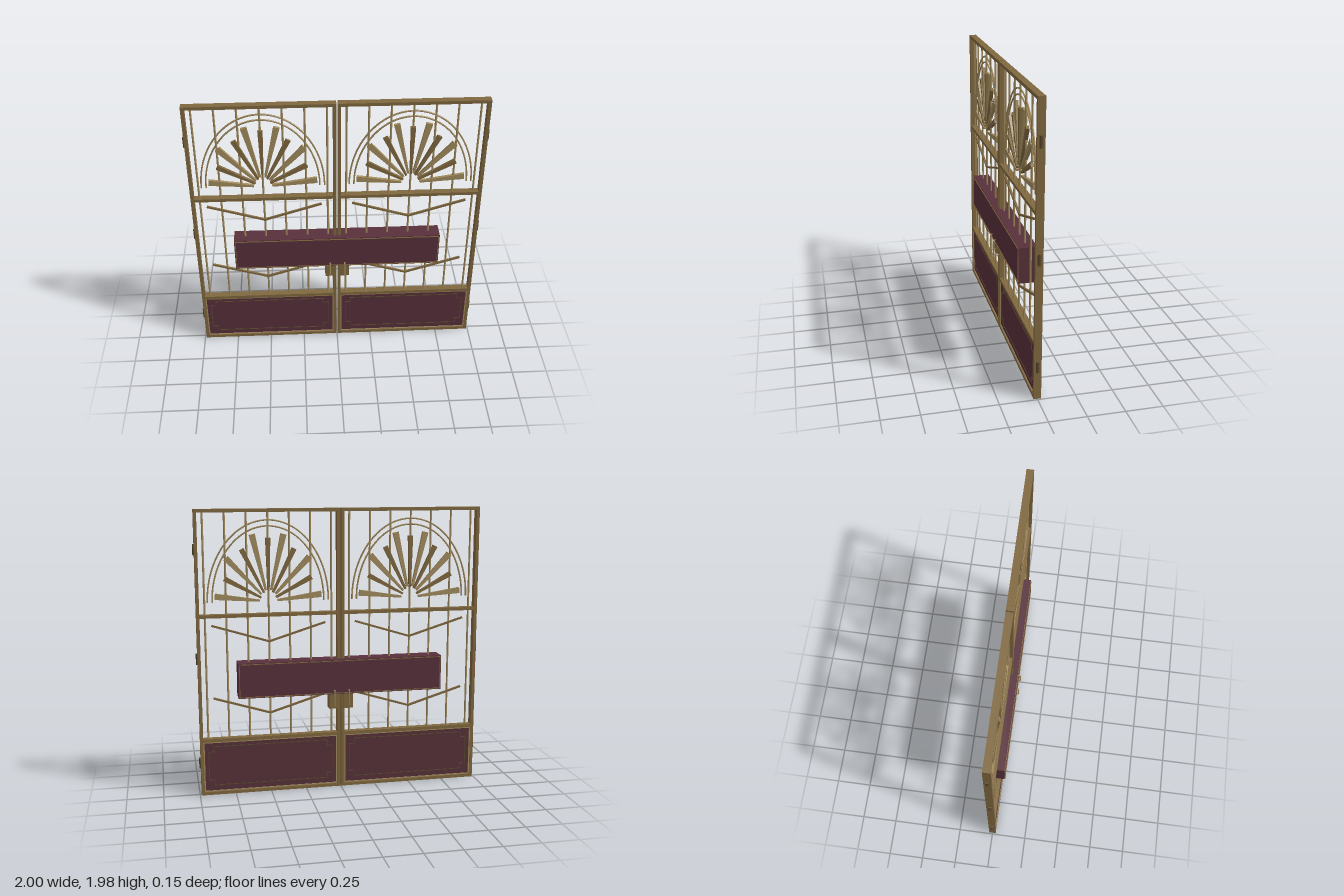
import * as THREE from 'three';

const paint = (color) => new THREE.MeshStandardMaterial({ color });
const bronze = paint(0x80683f);
const brass = paint(0xa38c5e);
const maroon = paint(0x58303a);
const dark = paint(0x5c4a30);

function add(parent, name, geometry, material, x = 0, y = 0, z = 0) {
  const mesh = new THREE.Mesh(geometry, material);
  mesh.name = name;
  mesh.position.set(x, y, z);
  parent.add(mesh);
  return mesh;
}

// Box given by its x, y and z limits
function block(parent, name, material, x0, x1, y0, y1, z0, z1) {
  return add(parent, name, new THREE.BoxGeometry(x1 - x0, y1 - y0, z1 - z0), material,
    (x0 + x1) / 2, (y0 + y1) / 2, (z0 + z1) / 2);
}

// Straight square bar between two points in the gate plane
function strip(parent, name, material, a, b, width, depth, z = 0) {
  const dx = b[0] - a[0], dy = b[1] - a[1];
  const mesh = add(parent, name, new THREE.BoxGeometry(Math.hypot(dx, dy) + width, width, depth),
    material, (a[0] + b[0]) / 2, (a[1] + b[1]) / 2, z);
  mesh.rotation.z = Math.atan2(dy, dx);
}

// Closed line of thin strips
function outline(parent, name, material, points, width, depth, z) {
  points.forEach((p, i) => strip(parent, name, material, p, points[(i + 1) % points.length], width, depth, z));
}

const rectangle = (x0, x1, y0, y1) => [[x0, y0], [x1, y0], [x1, y1], [x0, y1]];

// Half-ellipse hoop of round bar
function arch(parent, rx, ry) {
  const points = [];
  for (let i = 0; i <= 32; i++) {
    const t = (i / 32) * Math.PI;
    points.push(new THREE.Vector3(rx * Math.cos(t), ry * Math.sin(t), 0));
  }
  add(parent, 'arch', new THREE.TubeGeometry(new THREE.CatmullRomCurve3(points), 64, 0.006, 6), brass);
}

// Flat wedge that widens away from the arch centre
function ray(parent, angle, isLong) {
  const rx = isLong ? 0.365 : 0.32, ry = isLong ? 0.475 : 0.43;
  const x = rx * Math.cos(angle), y = ry * Math.sin(angle);
  const length = Math.hypot(x, y);
  const inner = length * 0.17, w0 = 0.007, w1 = isLong ? 0.021 : 0.017;
  const shape = new THREE.Shape([
    new THREE.Vector2(inner, -w0), new THREE.Vector2(length, -w1),
    new THREE.Vector2(length, w1), new THREE.Vector2(inner, w0),
  ]);
  const geometry = new THREE.ExtrudeGeometry(shape, { depth: 0.02, bevelEnabled: false });
  geometry.translate(0, 0, -0.01);
  add(parent, 'sunRay', geometry, isLong ? brass : bronze).rotation.z = Math.atan2(y, x);
}

function createLeaf(side) {
  const leaf = new THREE.Group();
  leaf.name = side > 0 ? 'leftLeaf' : 'rightLeaf';
  const cx = 0.497, d = 0.025;

  // Frame: two stiles and four rails
  block(leaf, 'innerStile', bronze, 0.004, 0.026, 0, 1.975, -d, d);
  block(leaf, 'outerStile', bronze, 0.968, 0.99, 0, 1.975, -d, d);
  for (const [y0, y1] of [[0, 0.022], [0.382, 0.404], [1.248, 1.27], [1.953, 1.975]])
    block(leaf, 'rail', bronze, 0.02, 0.975, y0, y1, -d + 0.001, d - 0.001);

  // Upright bars
  for (let i = -3; i <= 3; i++)
    add(leaf, 'uprightBar', new THREE.CylinderGeometry(0.007, 0.007, 1.56, 8), brass, cx + i * 0.1447, 1.18, 0);

  // Sunburst under a double arch
  const sunburst = new THREE.Group();
  sunburst.name = 'sunburst';
  sunburst.position.set(cx, 1.35, 0);
  arch(sunburst, 0.414, 0.55);
  arch(sunburst, 0.382, 0.51);
  for (let i = 0; i <= 10; i++) ray(sunburst, THREE.MathUtils.degToRad(5 + 17 * i), i % 2 === 0);
  leaf.add(sunburst);

  // Two shallow V bars
  for (const y of [1.073, 0.567])
    for (const s of [-1, 1])
      strip(leaf, 'chevronBar', bronze, [cx, y], [cx + s * 0.385, y + 0.119], 0.013, 0.014);

  // Kick panel with bead and notched moulding on both faces
  block(leaf, 'kickPanel', maroon, 0.02, 0.975, 0.015, 0.39, -0.015, 0.015);
  const x0 = 0.062, x1 = 0.932, y0 = 0.068, y1 = 0.347, n = 0.038;
  const notched = [
    [x0 + n, y0], [x1 - n, y0], [x1 - n, y0 + n], [x1, y0 + n],
    [x1, y1 - n], [x1 - n, y1 - n], [x1 - n, y1], [x0 + n, y1],
    [x0 + n, y1 - n], [x0, y1 - n], [x0, y0 + n], [x0 + n, y0 + n],
  ];
  for (const s of [-1, 1]) {
    outline(leaf, 'panelBead', brass, rectangle(0.03, 0.964, 0.026, 0.378), 0.008, 0.008, s * 0.016);
    outline(leaf, 'panelMoulding', dark, notched, 0.005, 0.006, s * 0.015);
  }

  // Lock plate with a pull handle on each face
  block(leaf, 'lockPlate', bronze, 0.016, 0.085, 0.58, 0.692, -0.037, 0.037);
  for (const s of [-1, 1]) {
    const path = new THREE.CurvePath();
    const pts = [[0.722, 0.05], [0.712, 0.072], [0.608, 0.072], [0.598, 0.035]]
      .map(([y, z]) => new THREE.Vector3(0.052, y, s * z));
    for (let i = 0; i < 3; i++) path.add(new THREE.LineCurve3(pts[i], pts[i + 1]));
    add(leaf, 'pullHandle', new THREE.TubeGeometry(path, 24, 0.005, 8), brass);
  }

  // Hinges on the outer stile
  for (const y of [0.23, 0.968, 1.708])
    add(leaf, 'hinge', new THREE.CylinderGeometry(0.012, 0.012, 0.075, 12), dark, 0.988, y, 0);

  // The right leaf is turned about the upright axis; the leaf is alike on both faces
  if (side < 0) leaf.rotation.y = Math.PI;
  return leaf;
}

export function createModel() {
  const gate = new THREE.Group();
  gate.name = 'doubleGate';
  gate.add(createLeaf(1), createLeaf(-1));

  // Wide box across both leaves, with a fine trim on both faces
  const board = new THREE.Group();
  board.name = 'crossBoard';
  block(board, 'boardBody', maroon, -0.72, 0.72, 0.69, 0.935, -0.06, 0.06);
  for (const s of [-1, 1])
    outline(board, 'boardTrim', bronze, rectangle(-0.712, 0.712, 0.698, 0.927), 0.005, 0.008, s * 0.061);
  gate.add(board);
  return gate;
}
